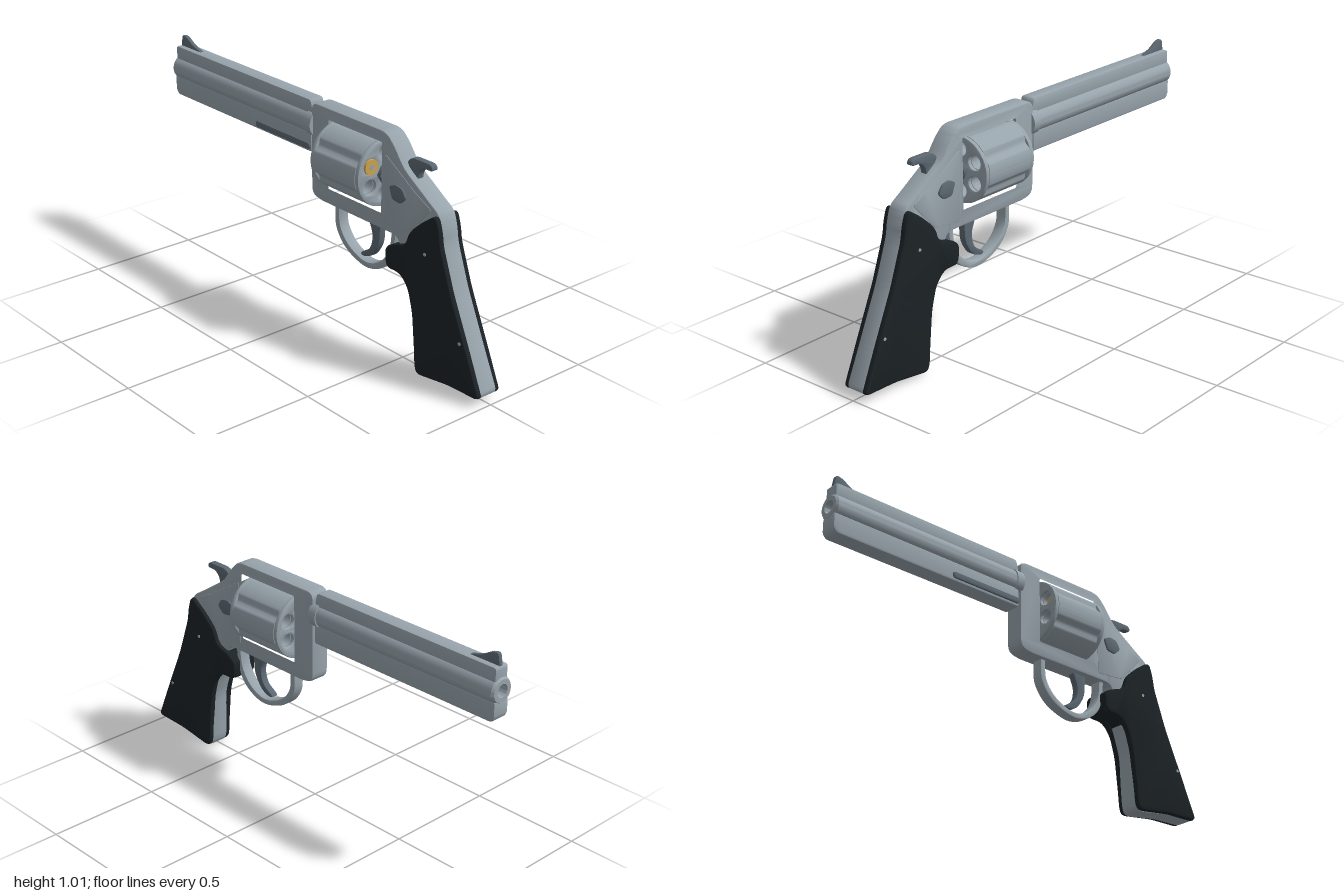
import * as THREE from 'three';
import { toCreasedNormals } from 'three/addons/utils/BufferGeometryUtils.js';

const mat = (color) => new THREE.MeshStandardMaterial({ color });
const steel = mat(0x98a4ac), dark = mat(0x5c6872), black = mat(0x1c2226), brass = mat(0xd0a550);

const BORE_Y = 0.87, DRUM_Y = 0.772, DRUM_R = 0.14;

// Closed outline with every corner rounded by up to r
function outline(points, r, Type = THREE.Shape) {
  const pts = points.map(([x, y]) => new THREE.Vector2(x, y));
  const path = new Type();
  pts.forEach((p, i) => {
    const prev = pts[(i + pts.length - 1) % pts.length], next = pts[(i + 1) % pts.length];
    const toward = (q) => p.clone().lerp(q, Math.min(0.45, r / p.distanceTo(q)));
    const a = toward(prev), b = toward(next);
    if (i === 0) path.moveTo(a.x, a.y); else path.lineTo(a.x, a.y);
    path.quadraticCurveTo(p.x, p.y, b.x, b.y);
  });
  path.closePath();
  return path;
}

function extrude(shape, depth, bevel) {
  const geo = new THREE.ExtrudeGeometry(shape, {
    depth: depth - 2 * bevel, curveSegments: 6, bevelEnabled: bevel > 0,
    bevelSize: bevel, bevelThickness: bevel, bevelOffset: -bevel, bevelSegments: 2,
  });
  geo.translate(0, 0, bevel);
  return toCreasedNormals(geo, 0.6);
}

export function createModel() {
  const model = new THREE.Group();

  const add = (name, geo, material) => {
    const mesh = new THREE.Mesh(geo, material);
    mesh.name = name;
    model.add(mesh);
    return mesh;
  };
  // Plate in the xy plane between two depths
  const plate = (name, shape, z0, z1, bevel, material) =>
    add(name, extrude(shape, z1 - z0, bevel).translate(0, 0, z0), material);
  // Round rod along x
  const rod = (name, x0, x1, y, z, r, material, sides = 32) =>
    add(name, new THREE.CylinderGeometry(r, r, x1 - x0, sides).rotateZ(Math.PI / 2)
      .translate((x0 + x1) / 2, y, z), material);

  // Barrel: hollow tube between a top rib and an underlug
  const tube = [[0.028, 0], [0.028, 0.96], [0.055, 0.96], [0.055, 0.01], [0.047, 0], [0.028, 0]]
    .map(([r, h]) => new THREE.Vector2(r, h)).reverse();
  const tubeGeo = toCreasedNormals(new THREE.LatheGeometry(tube, 48), 0.6);
  const barrel = add('barrel', tubeGeo.rotateZ(-Math.PI / 2).translate(-0.998, BORE_Y, 0),
    new THREE.MeshStandardMaterial({ color: 0x98a4ac, side: THREE.DoubleSide }));
  barrel.name = 'barrel';
  plate('barrelRib', outline([[-0.99, 0.9], [-0.035, 0.9], [-0.035, 0.93], [-0.047, 0.97], [-0.99, 0.97]], 0.012),
    -0.034, 0.034, 0.006, steel);
  plate('barrelUnderlug', outline([[-0.997, 0.835], [-0.997, 0.765], [-0.98, 0.745], [-0.037, 0.745], [-0.037, 0.835]], 0.012),
    -0.04, 0.04, 0.01, steel);
  rod('barrelCollar', -0.06, -0.02, BORE_Y, 0, 0.06, steel, 48);
  plate('ejectorRod', outline([[-0.4, 0.757], [-0.04, 0.757], [-0.04, 0.785], [-0.4, 0.785]], 0.013),
    0.03, 0.047, 0.005, dark);
  plate('frontSight', outline([[-0.987, 0.96], [-0.826, 0.965], [-0.9, 0.988], [-0.944, 1.014], [-0.976, 1.02]], 0.012),
    -0.009, 0.009, 0.002, dark);

  // Frame with the drum window, running down through the handle
  const frame = outline([
    [-0.03, 0.968], [0.425, 0.968], [0.475, 0.92], [0.525, 0.85], [0.68, 0.75], [0.73, 0.72],
    [0.75, 0.655], [0.757, 0.6], [0.82, 0.425], [0.917, 0.21], [0.996, 0.035], [0.82, 0.028],
    [0.65, 0], [0.628, 0.025], [0.613, 0.265], [0.58, 0.37], [0.53, 0.45], [0.5, 0.553],
    [0.02, 0.553], [-0.03, 0.57],
  ], 0.035);
  frame.holes.push(outline([[0.07, 0.613], [0.07, 0.928], [0.41, 0.928], [0.41, 0.613]], 0.015, THREE.Path));
  plate('frame', frame, -0.043, 0.043, 0.008, steel);

  // Drum: round ends and a fluted middle, pierced by six chambers
  const drumShape = (fluteDepth) => {
    const pts = [];
    for (let i = 0; i < 144; i++) {
      const deg = i * 2.5;
      const off = Math.abs((deg % 60) - 30) / 11;
      const r = DRUM_R - (off < 1 ? fluteDepth * Math.cos(off * Math.PI / 2) : 0);
      const t = deg * Math.PI / 180;
      pts.push(new THREE.Vector2(r * Math.cos(t), r * Math.sin(t)));
    }
    const shape = new THREE.Shape(pts);
    for (let k = 0; k < 6; k++) {
      const t = (30 + 60 * k) * Math.PI / 180;
      shape.holes.push(new THREE.Path().absarc(0.087 * Math.cos(t), 0.087 * Math.sin(t), 0.032, 0, Math.PI * 2, true));
    }
    return shape;
  };
  [['drumFront', 0.08, 0.1, 0, 0.005], ['drumMiddle', 0.1, 0.352, 0.012, 0], ['drumRear', 0.352, 0.372, 0, 0.005]]
    .forEach(([name, x0, x1, depth, bevel]) =>
      add(name, extrude(drumShape(depth), x1 - x0, bevel).rotateY(Math.PI / 2).translate(x0, DRUM_Y, 0), steel));
  rod('drumAxle', 0.06, 0.415, DRUM_Y, 0, 0.018, dark);
  rod('drumRatchet', 0.365, 0.39, DRUM_Y, 0, 0.04, dark, 6);

  // Single cartridge
  const cz = 0.075, cy = DRUM_Y + 0.0435;
  rod('cartridgeCase', 0.12, 0.372, cy, cz, 0.029, brass);
  rod('cartridgeRim', 0.37, 0.38, cy, cz, 0.033, brass);
  rod('cartridgePrimer', 0.378, 0.382, cy, cz, 0.011, steel);

  // Trigger guard and trigger
  const guard = new THREE.Shape();
  const v = (list) => list.map(([x, y]) => new THREE.Vector2(x, y));
  guard.moveTo(0.1, 0.565);
  guard.splineThru(v([[0.105, 0.46], [0.17, 0.38], [0.29, 0.34], [0.39, 0.37], [0.45, 0.44], [0.47, 0.565]]));
  guard.lineTo(0.445, 0.565);
  guard.splineThru(v([[0.43, 0.465], [0.375, 0.395], [0.29, 0.365], [0.19, 0.4], [0.132, 0.47], [0.127, 0.565]]));
  guard.closePath();
  plate('triggerGuard', guard, -0.025, 0.025, 0.005, steel);
  plate('trigger', outline([[0.29, 0.57], [0.325, 0.49], [0.31, 0.425], [0.245, 0.388], [0.265, 0.375],
    [0.32, 0.395], [0.362, 0.46], [0.37, 0.57]], 0.03), -0.016, 0.016, 0.004, dark);

  // Hammer
  plate('hammer', outline([[0.48, 0.8], [0.53, 0.845], [0.515, 0.87], [0.545, 0.892], [0.65, 0.892], [0.66, 0.865],
    [0.605, 0.865], [0.58, 0.835], [0.58, 0.78]], 0.02), -0.015, 0.015, 0.004, dark);

  // Parts repeated on both sides
  const grip = outline([
    [0.728, 0.722], [0.75, 0.655], [0.757, 0.6], [0.82, 0.425], [0.917, 0.21], [0.994, 0.035], [0.82, 0.03],
    [0.645, 0.005], [0.628, 0.03], [0.623, 0.105], [0.607, 0.265], [0.58, 0.36], [0.535, 0.408],
    [0.45, 0.408], [0.442, 0.495], [0.49, 0.522], [0.56, 0.543], [0.58, 0.605], [0.65, 0.668],
  ], 0.03);
  const gripFront = outline([[0.45, 0.41], [0.535, 0.41], [0.59, 0.37], [0.59, 0.54], [0.49, 0.52], [0.444, 0.495]], 0.02);
  plate('gripFront', gripFront, -0.045, 0.045, 0, black);
  const sidePlate = outline([[0.42, 0.88], [0.5, 0.83], [0.6, 0.768], [0.69, 0.725], [0.57, 0.595], [0.42, 0.58]], 0.02);
  const latch = outline([[0.455, 0.755], [0.49, 0.772], [0.53, 0.765], [0.552, 0.73], [0.52, 0.7], [0.475, 0.705]], 0.012);
  for (const s of [1, -1]) {
    const side = s > 0 ? 'left' : 'right';
    const sided = (name, shape, z0, z1, bevel, material) =>
      plate(side + name, shape, s > 0 ? z0 : -z1, s > 0 ? z1 : -z0, bevel, material);
    sided('Grip', grip, 0.03, 0.062, 0.012, black);
    sided('SidePlate', sidePlate, 0.036, 0.045, 0.002, steel);
    sided('Latch', latch, 0.04, 0.053, 0.003, dark);
    for (const [x, y] of [[0.676, 0.543], [0.88, 0.24]]) {
      add(side + 'GripScrew', new THREE.CylinderGeometry(0.007, 0.007, 0.006, 16).rotateX(Math.PI / 2)
        .translate(x, y, s * 0.061), steel);
    }
  }
  return model;
}
